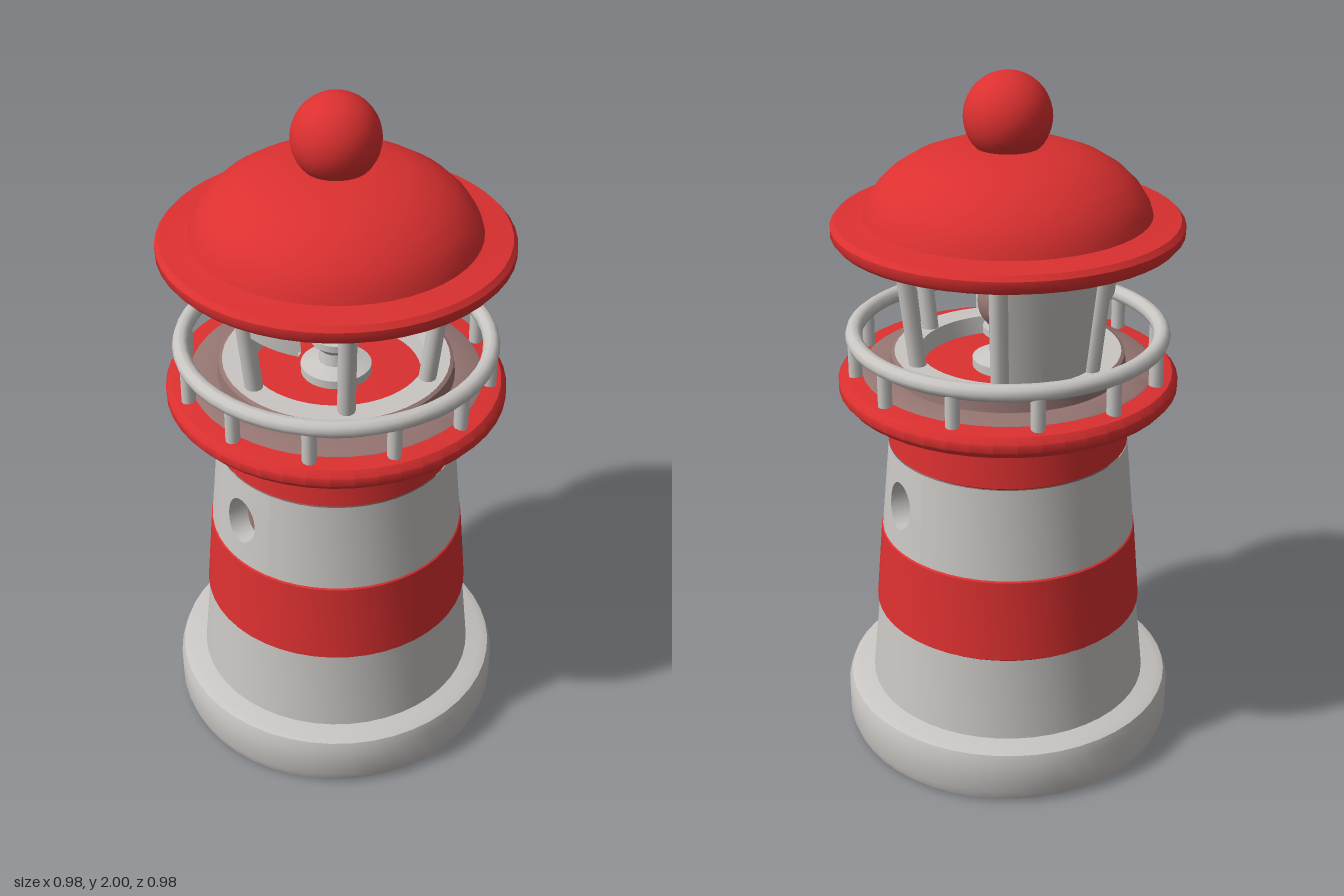
import * as THREE from 'three';
import { toCreasedNormals } from 'three/addons/utils/BufferGeometryUtils.js';

export function createModel() {
  const model = new THREE.Group();
  const red = new THREE.MeshStandardMaterial({ name: 'red', color: 0xdc3030 });
  const white = new THREE.MeshStandardMaterial({ name: 'paleGrey', color: 0xc8c5c2, side: THREE.DoubleSide });
  const brown = new THREE.MeshStandardMaterial({ name: 'dustyBrown', color: 0x957572, side: THREE.DoubleSide });

  const add = (name, geometry, material, parent = model) => {
    const mesh = new THREE.Mesh(geometry, material);
    mesh.name = name;
    parent.add(mesh);
    return mesh;
  };
  // Turned part: profile of [radius, y], bottom to top on the outside
  const lathe = (name, profile, material, start = 0, length = Math.PI * 2, parent = model) => {
    const points = profile.map(([r, y]) => new THREE.Vector2(r, y));
    const segments = Math.max(6, Math.round(48 * length / (Math.PI * 2)));
    return add(name, toCreasedNormals(new THREE.LatheGeometry(points, segments, start, length), 0.7), material, 0, parent);
  };
  const turned = (name, profile, material, start = 0, length = Math.PI * 2, parent = model) => {
    const points = profile.map(([r, y]) => new THREE.Vector2(r, y));
    const segments = Math.max(6, Math.round(48 * length / (Math.PI * 2)));
    return add(name, toCreasedNormals(new THREE.LatheGeometry(points, segments, start, length), 0.7), material, parent);
  };
  const polar = (r, angle, y) => new THREE.Vector3(r * Math.sin(angle), y, r * Math.cos(angle));
  const rod = (name, from, to, radius, material, parent) => {
    const mesh = add(name, new THREE.CylinderGeometry(radius, radius, from.distanceTo(to), 10), material, parent);
    mesh.position.copy(from).lerp(to, 0.5);
    mesh.quaternion.setFromUnitVectors(new THREE.Vector3(0, 1, 0), to.clone().sub(from).normalize());
  };

  // Foot and painted tower bands
  turned('base', [[0, 0], [0.46, 0], [0.48, 0.01], [0.49, 0.04], [0.49, 0.13], [0.48, 0.16], [0.455, 0.17], [0, 0.17]], white);
  turned('lowerPaleBand', [[0.412, 0.165], [0.387, 0.42]], white);
  turned('lowerRedBand', [[0.38, 0.415], [0.393, 0.425], [0.373, 0.665], [0.36, 0.675]], red);
  turned('upperRedBand', [[0.33, 0.935], [0.345, 0.945], [0.334, 1.1]], red);

  // Upper pale band with a round window on each side
  const bandBottom = 0.67, bandTop = 0.94, half = 0.3;
  const bandRadius = y => 0.37 - 0.025 * (y - bandBottom) / (bandTop - bandBottom);
  const windowPatch = centre => {
    const n = 32, rows = [[1, 0], [0.5, 0], [0, 0], [0, 0.03], [0, 0.06]];
    const positions = [], index = [];
    for (const [mix, depth] of rows) {
      for (let i = 0; i < n; i++) {
        const t = i / n * Math.PI * 2, c = Math.cos(t), s = Math.sin(t);
        const square = Math.max(Math.abs(c), Math.abs(s));
        const u = THREE.MathUtils.lerp(0.165 * c, half * c / square, mix);
        const v = THREE.MathUtils.lerp(0.07 * s, 0.135 * s / square, mix);
        const y = 0.805 + v;
        positions.push(...polar(bandRadius(y) - depth, centre + u, y).toArray());
      }
    }
    for (let k = 0; k < rows.length - 1; k++) {
      for (let i = 0; i < n; i++) {
        const a = k * n + i, b = k * n + (i + 1) % n;
        index.push(a, b, a + n, b, b + n, a + n);
      }
    }
    const geometry = new THREE.BufferGeometry();
    geometry.setAttribute('position', new THREE.Float32BufferAttribute(positions, 3));
    geometry.setIndex(index);
    return toCreasedNormals(geometry, 0.7);
  };
  for (const angle of [1.92, 1.92 + Math.PI]) {
    add('windowWall', windowPatch(angle), white);
    turned('upperPaleBand', [[bandRadius(bandBottom), bandBottom], [bandRadius(bandTop), bandTop]], white, angle + half, Math.PI - 2 * half);
  }
  turned('towerInterior', [[0.3, 0.66], [0.29, 0.95]], brown);

  // Gallery deck
  turned('deckUnderside', [[0.32, 1.095], [0.44, 1.095]], white);
  turned('deck', [[0.435, 1.095], [0.465, 1.1], [0.48, 1.118], [0.48, 1.142], [0.465, 1.16], [0.435, 1.165], [0, 1.165]], red);
  turned('deckWalkway', [[0.415, 1.164], [0.41, 1.168], [0.32, 1.168]], brown);

  // Gallery railing
  const railing = new THREE.Group();
  railing.name = 'railing';
  model.add(railing);
  const rail = add('handrail', new THREE.TorusGeometry(0.432, 0.024, 10, 48), white, railing);
  rail.rotation.x = Math.PI / 2;
  rail.position.y = 1.27;
  for (let i = 0; i < 12; i++) {
    const angle = i * Math.PI / 6;
    rod('railingPost', polar(0.432, angle, 1.155), polar(0.432, angle, 1.265), 0.02, white, railing);
  }

  // Lantern room: sill, leaning posts and remaining wall panels
  const lantern = new THREE.Group();
  lantern.name = 'lantern';
  model.add(lantern);
  turned('lanternSill', [[0.335, 1.165], [0.33, 1.21], [0.32, 1.215]], brown, 0, Math.PI * 2, lantern);
  turned('sillTop', [[0.32, 1.215], [0.25, 1.215], [0.24, 1.165]], white, 0, Math.PI * 2, lantern);
  for (let i = 0; i < 6; i++) {
    const angle = THREE.MathUtils.degToRad(105 + i * 60);
    rod('lanternPost', polar(0.27, angle, 1.17), polar(0.325, angle, 1.64), 0.025, white, lantern);
  }
  // Each panel: start and sweep in degrees, bottom height
  for (const [start, sweep, bottom] of [[160, 62, 1.18], [225, 27, 1.4], [285, 35, 1.39]]) {
    const lean = y => 0.27 + 0.117 * (y - 1.17);
    const rad = THREE.MathUtils.degToRad;
    turned('wallPanel', [[lean(bottom), bottom], [lean(1.63), 1.63], [lean(1.63) - 0.02, 1.63], [lean(bottom) - 0.02, bottom], [lean(bottom), bottom]],
      white, rad(start), rad(sweep), lantern);
  }

  // Lamp on its pedestal
  turned('lampPedestal', [[0.1, 1.165], [0.1, 1.19], [0.05, 1.205], [0.045, 1.24], [0.07, 1.265], [0.07, 1.285], [0, 1.29]], white, 0, Math.PI * 2, lantern);
  const lamp = add('lamp', new THREE.SphereGeometry(0.085, 24, 16), brown, lantern);
  lamp.position.y = 1.357;

  // Domed roof, its hollow underside and the ball on top
  turned('roof', [[0.44, 1.55], [0.472, 1.555], [0.484, 1.57], [0.484, 1.592], [0.472, 1.606], [0.43, 1.61], [0.395, 1.615],
    [0.385, 1.645], [0.36, 1.685], [0.32, 1.725], [0.265, 1.76], [0.2, 1.785], [0.12, 1.798], [0, 1.805]], red);
  turned('roofUnderside', [[0, 1.73], [0.18, 1.715], [0.29, 1.67], [0.36, 1.61], [0.4, 1.575], [0.44, 1.55]], brown);
  const ball = add('roofBall', new THREE.SphereGeometry(0.12, 32, 20), red);
  ball.position.y = 1.88;
  return model;
}
